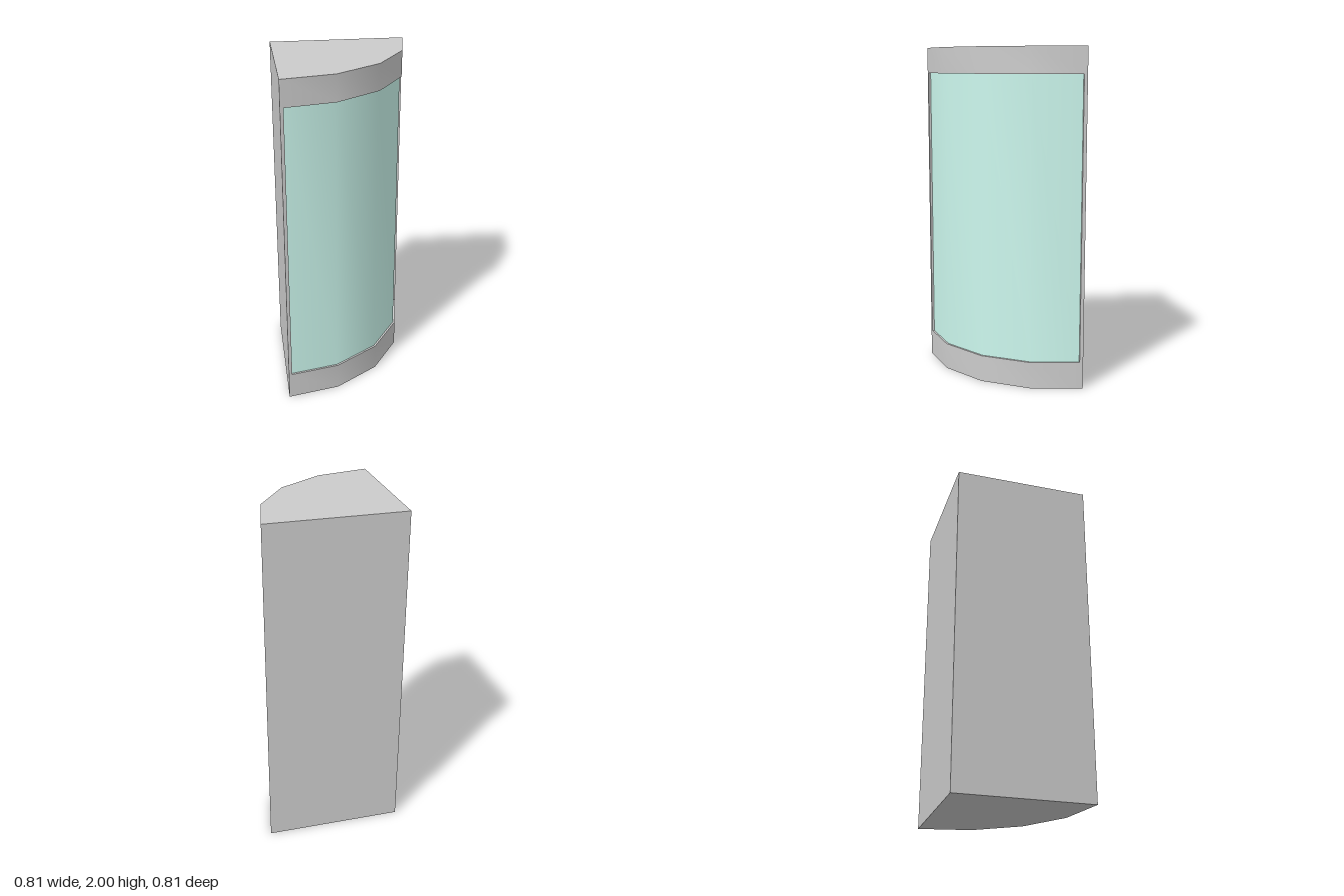
import * as THREE from 'three';
import { toCreasedNormals } from 'three/addons/utils/BufferGeometryUtils.js';

const C = -0.404;      // x and z of the square back corner
const R = 0.808;       // radius of the quarter-round front
const RECESS = 0.012;  // depth of the panel behind the frame
const WALL = 0.02;     // thickness of the back walls
const BASE = 0.16, TOP = 1.845;

// Points of the four-sided quarter arc, as [x, z] offsets from the corner
function arc(r) {
  return Array.from({ length: 5 }, (_, i) => {
    const a = (i / 4) * Math.PI / 2;
    return [r * Math.cos(a), r * Math.sin(a)];
  });
}

// The same arc with both ends trimmed where it meets the walls
function trimmedArc(r) {
  const pts = arc(r);
  const [x1, z1] = pts[1];
  const x = r + (x1 - r) * (WALL / z1);
  pts[0] = [x, WALL];
  pts[4] = [WALL, x];
  return pts;
}

// Upright prism over a plan outline, smooth around the curve only
function prism(name, outline, y0, y1, material) {
  const shape = new THREE.Shape(outline.map(([x, z]) => new THREE.Vector2(C + x, -(C + z))));
  let geo = new THREE.ExtrudeGeometry(shape, { depth: y1 - y0, bevelEnabled: false });
  geo.rotateX(-Math.PI / 2);
  geo.translate(0, y0, 0);
  geo = toCreasedNormals(geo, THREE.MathUtils.degToRad(35));
  const mesh = new THREE.Mesh(geo, material);
  mesh.name = name;
  return mesh;
}

export function createModel() {
  const group = new THREE.Group();
  group.name = 'cornerCabinet';
  const grey = new THREE.MeshStandardMaterial({ color: 0xcccccc });
  const green = new THREE.MeshStandardMaterial({ color: 0xccf8ee });

  // Solid base and top
  const full = [[0, 0], ...arc(R)];
  group.add(prism('base', full, 0, BASE, grey));
  group.add(prism('top', full, TOP, 2, grey));

  // L-shaped back walls, whose ends frame the panel
  const edge = trimmedArc(R)[0];
  const walls = [[0, 0], [R, 0], edge, [WALL, WALL], [edge[1], edge[0]], [0, R]];
  group.add(prism('backWalls', walls, BASE, TOP, grey));

  // Slightly recessed curved panel
  group.add(prism('curvedPanel', [[WALL, WALL], ...trimmedArc(R - RECESS)], BASE, TOP, green));

  return group;
}
